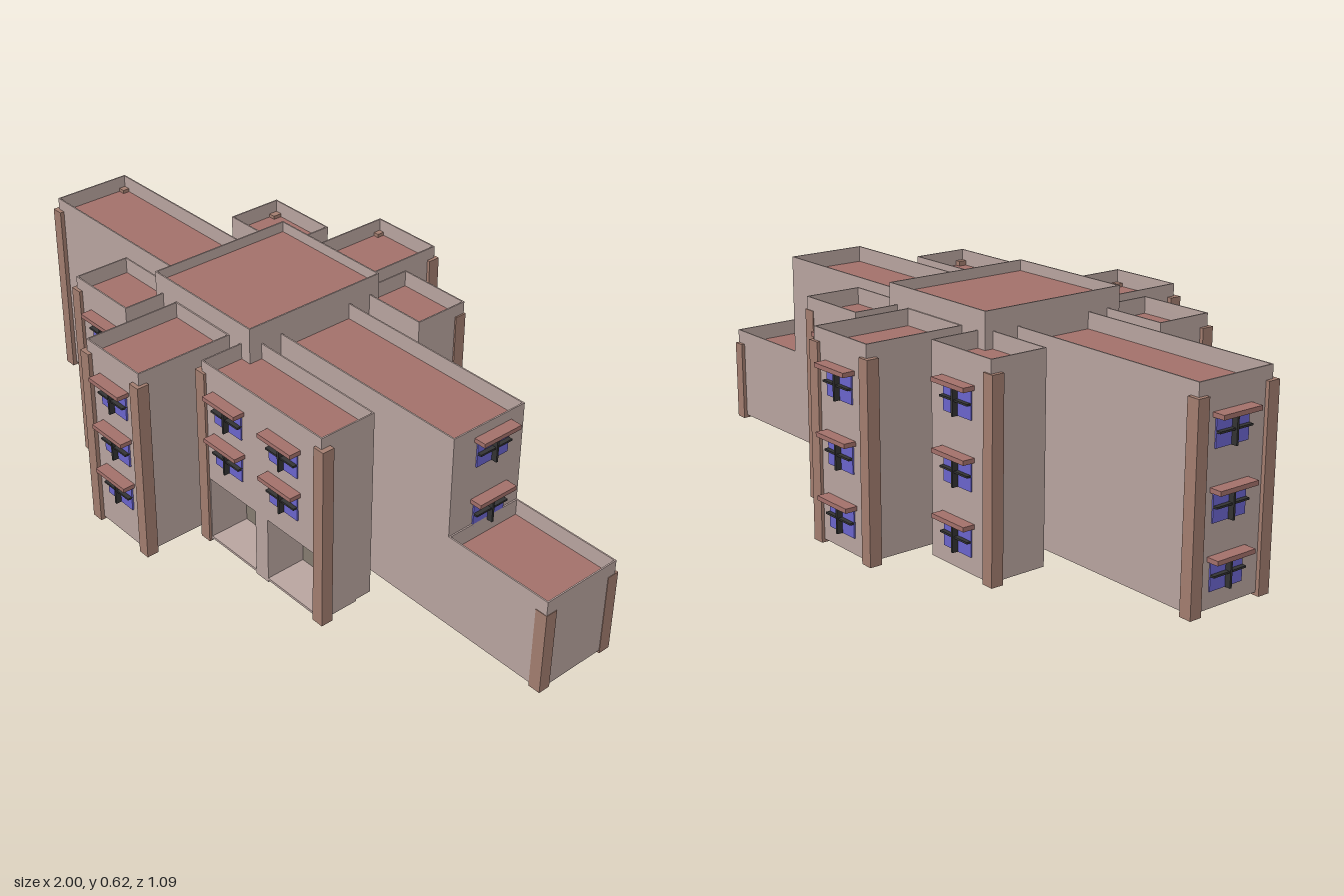
import * as THREE from 'three';

const mat = (color) => new THREE.MeshStandardMaterial({ color });

export function createModel() {
  const model = new THREE.Group();
  model.name = 'building';
  const wall = mat(0xb8a49f), roof = mat(0xa2706a), brick = mat(0xa27d6f);
  const glass = mat(0x6a64cc), dark = mat(0x333333), inner = mat(0x857c70);

  // box given by its extents
  const box = (parent, name, x0, x1, y0, y1, z0, z1, material) => {
    const m = new THREE.Mesh(new THREE.BoxGeometry(x1 - x0, y1 - y0, z1 - z0), material);
    m.position.set((x0 + x1) / 2, (y0 + y1) / 2, (z0 + z1) / 2);
    m.name = name;
    parent.add(m);
    return m;
  };
  const rect = (C, a, b, c, d) => {
    const s = new C();
    s.moveTo(a, c); s.lineTo(b, c); s.lineTo(b, d); s.lineTo(a, d); s.closePath();
    return s;
  };

  // thin parapet ring around a roof
  const parapet = (parent, x0, x1, y0, y1, z0, z1) => {
    const t = 0.004;
    const s = rect(THREE.Shape, x0, x1, -z1, -z0);
    s.holes.push(rect(THREE.Path, x0 + t, x1 - t, -z1 + t, -z0 - t));
    const g = new THREE.ExtrudeGeometry(s, { depth: y1 - y0, bevelEnabled: false });
    g.rotateX(-Math.PI / 2);
    const m = new THREE.Mesh(g, wall);
    m.position.y = y0;
    m.name = 'parapet';
    parent.add(m);
  };

  // wing: solid body with a sunken roof and parapet
  const base = 0.009;
  const sided = [wall, wall, roof, wall, wall, wall];
  const wing = (name, x0, x1, top, z0, z1, sink = 0.045) => {
    const g = new THREE.Group();
    g.name = name;
    box(g, 'body', x0, x1, base, top - sink, z0, z1, sided);
    parapet(g, x0, x1, top - sink, top, z0, z1);
    model.add(g);
  };
  wing('mainBar', -0.967, 0.672, 0.562, -0.121, 0.117);
  wing('lowWing', 0.672, 0.995, 0.277, -0.121, 0.117);
  wing('centralTower', -0.348, 0.047, 0.615, -0.223, 0.22, 0.03);
  wing('frontWing', -0.258, -0.035, 0.562, 0.22, 0.507);
  wing('backWing', -0.258, -0.035, 0.562, -0.511, -0.223);
  wing('frontRightBlock', -0.543, -0.316, 0.562, 0.177, 0.343);
  wing('backRightBlock', -0.543, -0.316, 0.562, -0.362, -0.195);
  wing('backLeftBlock', 0.012, 0.236, 0.562, -0.355, -0.19);

  // entrance block with two recessed bays
  const e = new THREE.Group();
  e.name = 'entranceBlock';
  const ex0 = 0.01, ex1 = 0.465, ez0 = 0.177, ez1 = 0.345, lintel = 0.203, rz = 0.225;
  box(e, 'upperBody', ex0, ex1, lintel, 0.513, ez0, ez1, sided);
  parapet(e, ex0, ex1, 0.513, 0.558, ez0, ez1);
  box(e, 'rearBody', ex0, ex1, base, lintel, ez0, rz, wall);
  box(e, 'floor', ex0, ex1, base, 0.016, rz, ez1, wall);
  for (const [a, b] of [[ex0, 0.03], [0.214, 0.262], [0.442, ex1]])
    box(e, 'pier', a, b, 0.003, lintel, rz, ez1, wall);
  for (const [a, b] of [[0.03, 0.214], [0.262, 0.442]])
    box(e, 'bayBackWall', a, b, 0.016, lintel, rz, rz + 0.003, inner);
  model.add(e);

  // corner pillars: [x, z, height]
  const tall = 0.527, r = 0.0175;
  const pillars = [
    [-0.96, 0.112, tall], [-0.96, -0.114, tall],
    [0.979, 0.101, 0.237], [0.979, -0.114, 0.237],
    [-0.255, 0.501, tall], [-0.043, 0.501, tall],
    [-0.255, -0.502, tall], [-0.043, -0.502, tall],
    [-0.536, 0.335, tall], [-0.536, -0.349, tall],
    [0.009, 0.335, tall], [0.462, 0.335, tall], [0.223, -0.34, tall],
  ];
  for (const [x, z, h] of pillars)
    box(model, 'cornerPillar', x - r, x + r, 0, h, z - r, z + r, brick);

  // window: pane, projecting cross bars and a canopy on top; faces local +z
  const addWindow = (x, top, z, angle) => {
    const g = new THREE.Group();
    g.name = 'window';
    box(g, 'pane', -0.053, 0.053, -0.087, -0.011, -0.002, 0.004, glass);
    box(g, 'verticalBar', -0.003, 0.003, -0.087, -0.011, 0, 0.02, dark);
    box(g, 'horizontalBar', -0.053, 0.053, -0.05, -0.045, 0, 0.016, dark);
    box(g, 'canopy', -0.062, 0.062, -0.012, 0, -0.002, 0.034, roof);
    g.position.set(x, top, z);
    g.rotation.y = angle;
    model.add(g);
  };
  const three = [0.485, 0.307, 0.14], wingRows = [0.483, 0.34, 0.201];
  const columns = [
    [-0.42, 0.343, 0, three],
    [-0.145, 0.508, 0, wingRows],
    [0.114, 0.345, 0, [0.485, 0.358]],
    [0.328, 0.345, 0, [0.485, 0.358]],
    [-0.42, -0.362, Math.PI, three],
    [-0.145, -0.511, Math.PI, three],
    [0.105, -0.355, Math.PI, three],
    [-0.967, -0.012, -Math.PI / 2, three],
    [0.672, -0.015, Math.PI / 2, [0.534, 0.355]],
  ];
  for (const [x, z, a, rows] of columns)
    for (const y of rows) addWindow(x, y, z, a);

  return model;
}
